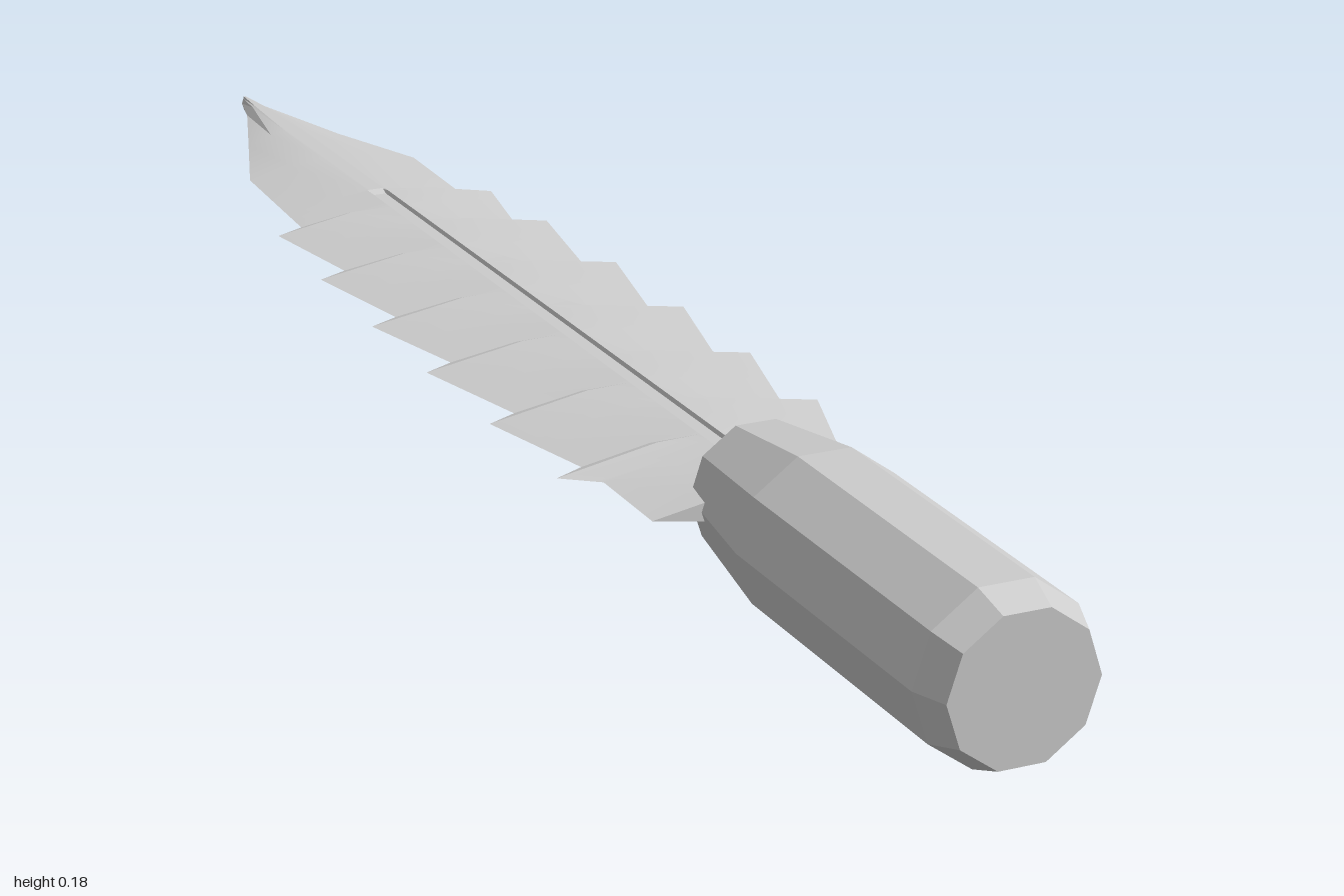
import * as THREE from 'three';
import { toCreasedNormals } from 'three/addons/utils/BufferGeometryUtils.js';

const AXIS_Y = 0.092;

// Linear interpolation through [z, value] or [z, value, value2] rows sorted by z
function sample(rows, z, k = 1) {
  if (z <= rows[0][0]) return rows[0][k];
  for (let i = 1; i < rows.length; i++) {
    const a = rows[i - 1], b = rows[i];
    if (z <= b[0]) return a[k] + (b[k] - a[k]) * (z - a[0]) / (b[0] - a[0]);
  }
  return rows[rows.length - 1][k];
}

// One edge of the blade: rows of [z, half width, shoulder thickness]
function edgeProfile(teeth, root) {
  const rows = [[-1, 0.004, 0.006], [-0.95, 0.016, 0.009], [-0.83, 0.06, 0.01], [-0.7, 0.108, 0.011]];
  for (const [z, w] of teeth) {
    const t = 0.016 + 0.005 * (z + 0.55) / 0.9;
    rows.push([z - 0.018, w - 0.036, t - 0.007], [z, w, t]);
  }
  rows.push(root, [0.49, 0.135, 0.013]);
  return rows;
}

function bladeGeometry() {
  const right = edgeProfile(
    [[-0.54, 0.142], [-0.41, 0.157], [-0.24, 0.168], [-0.07, 0.172], [0.095, 0.173], [0.255, 0.173]],
    [0.37, 0.135, 0.014]);
  const left = edgeProfile(
    [[-0.49, 0.153], [-0.325, 0.165], [-0.155, 0.172], [0.005, 0.174], [0.175, 0.174], [0.345, 0.174]],
    [0.375, 0.135, 0.014]);
  const spine = [[-1, 0.009], [-0.9, 0.012], [-0.6, 0.016], [0, 0.02], [0.49, 0.023]];
  const fuller = [[-0.56, 0], [-0.55, 0.004], [0.49, 0.004]];
  const zs = [...new Set([...right, ...left, ...fuller].map(r => r[0]))].sort((a, b) => a - b);

  // Cross-sections: sharp edges, shoulders, spine and a shallow fuller
  const pos = [], index = [];
  for (const z of zs) {
    const wr = sample(right, z), wl = sample(left, z);
    const h = sample(spine, z), g = h - sample(fuller, z);
    const s = Math.min(0.011, wr * 0.3), mr = Math.min(0.06, wr * 0.5), ml = Math.min(0.06, wl * 0.5);
    const top = [[mr, Math.min(sample(right, z, 2), h)], [s, h], [s * 0.8, g], [-s * 0.8, g], [-s, h],
      [-ml, Math.min(sample(left, z, 2), h)]];
    const under = top.map(([x, y]) => [x, -y]).reverse();
    for (const [x, y] of [[wr, 0], ...top, [-wl, 0], ...under]) pos.push(x, y, z);
  }
  const n = 14, last = zs.length - 1;
  for (let i = 0; i < last; i++) {
    for (let j = 0; j < n; j++) {
      const a = i * n + j, b = i * n + (j + 1) % n;
      index.push(a, b, a + n, b, b + n, a + n);
    }
  }
  // End caps, zipped between the upper and lower halves
  for (let j = 0; j < 7; j++) {
    const a = j, b = j + 1, c = (n - j) % n, d = n - j - 1, o = last * n;
    index.push(o + a, o + b, o + d, o + a, o + d, o + c);
    index.push(a, d, b, a, c, d);
  }
  const geo = new THREE.BufferGeometry();
  geo.setAttribute('position', new THREE.Float32BufferAttribute(pos, 3));
  geo.setIndex(index);
  return toCreasedNormals(geo, 0.3);
}

// Ten-sided grip, narrowed toward the blade and bevelled at the butt
function handleGeometry() {
  const pts = [[0, 0.45], [0.074, 0.45], [0.0965, 0.6], [0.0965, 0.96], [0.082, 1], [0, 1]]
    .map(([r, y]) => new THREE.Vector2(r, y));
  const geo = new THREE.LatheGeometry(pts, 10, Math.PI / 2).rotateX(Math.PI / 2).toNonIndexed();
  geo.computeVertexNormals();
  return geo;
}

export function createModel() {
  const grey = new THREE.MeshStandardMaterial({ color: 0xcccccc });
  grey.name = 'light grey';
  const group = new THREE.Group();
  group.name = 'serratedKnife';
  const parts = { blade: bladeGeometry(), handle: handleGeometry() };
  for (const [name, geo] of Object.entries(parts)) {
    const mesh = new THREE.Mesh(geo, grey);
    mesh.name = name;
    mesh.position.y = AXIS_Y;
    group.add(mesh);
  }
  return group;
}
